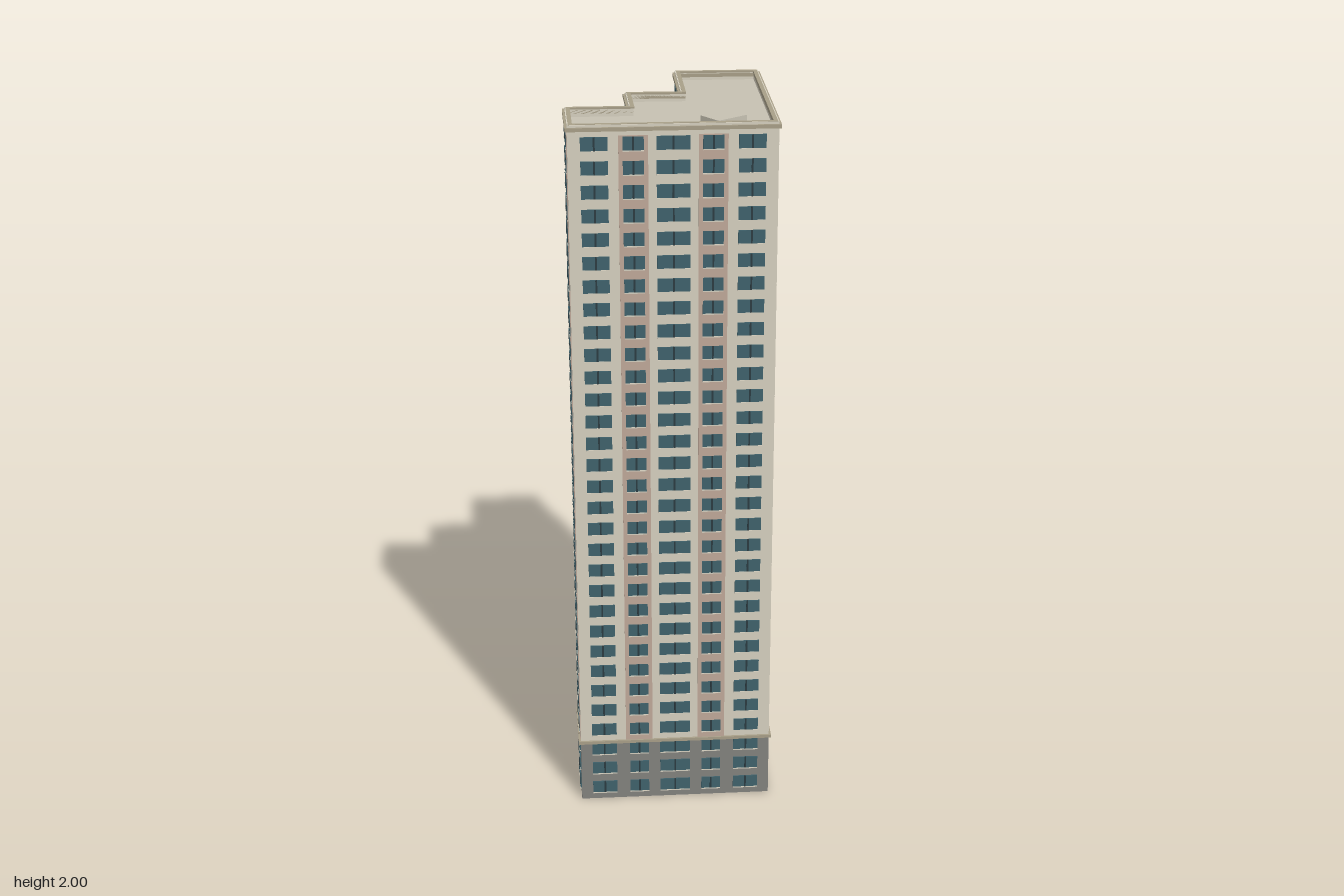
import * as THREE from 'three';
import { mergeGeometries } from 'three/addons/utils/BufferGeometryUtils.js';

const mat = (name, color) => {
  const m = new THREE.MeshStandardMaterial({ color });
  m.name = name;
  return m;
};

// Outer outline of the stepped floor plan as [x, z], left to right seen from outside
const OUTLINE = [
  [-0.393, -0.013], [0.06, 0.305], [0.393, -0.165], [0.195, -0.307],
  [0.06, -0.115], [-0.06, -0.203], [-0.143, -0.08], [-0.28, -0.178],
];

// Window columns on each wall: [start, end, onStrip] as fractions of the wall length
const WIDE = [[0.06, 0.19], [0.26, 0.36, true], [0.42, 0.58], [0.64, 0.74, true], [0.81, 0.94]];
const PAIR = [[0.14, 0.5], [0.65, 0.87, true]];
const SINGLE = [[0.14, 0.8]];
const COLUMNS = [WIDE, WIDE, PAIR, PAIR, SINGLE, SINGLE, SINGLE, PAIR];

const FLOORS = 31, FIRST = 0.04, STEP = 0.0637, BASE_TOP = 0.19;

// Unit direction of the edge that leaves corner i
function edgeDir(pts, i) {
  const n = pts.length, a = pts[(i + n) % n], b = pts[(i + 1) % n];
  return new THREE.Vector2(b[0] - a[0], b[1] - a[1]).normalize();
}

// Outline moved outward (d > 0) or inward (d < 0) with mitred corners
function offset(pts, d) {
  return pts.map((p, i) => {
    const e = edgeDir(pts, i - 1), f = edgeDir(pts, i);
    const k = d / (1 + e.dot(f));
    return [p[0] - (e.y + f.y) * k, p[1] + (e.x + f.x) * k];
  });
}

const toVectors = (pts) => pts.map(([x, z]) => new THREE.Vector2(x, -z));

// Upright prism over an outline, optionally hollow
function prism(outer, y0, y1, inner) {
  const shape = new THREE.Shape(toVectors(outer));
  if (inner) shape.holes.push(new THREE.Path(toVectors(inner)));
  const g = new THREE.ExtrudeGeometry(shape, { depth: y1 - y0, bevelEnabled: false });
  return g.rotateX(-Math.PI / 2).translate(0, y0, 0);
}

export function createModel() {
  const group = new THREE.Group();
  group.name = 'apartmentTower';

  const cream = mat('cream wall', 0xd6d0bf);
  const brown = mat('brown strip', 0xbfa899);
  const grey = mat('grey base', 0x82827e);
  const trim = mat('tan trim', 0xa89f88);
  const roofMat = mat('roof', 0xc6c1b2);
  const glass = mat('window glass', 0x3f626c);
  const frame = mat('window frame', 0x2b3b41);

  const add = (name, geometry, material) => {
    const mesh = new THREE.Mesh(geometry, material);
    mesh.name = name;
    group.add(mesh);
  };

  const wall = offset(OUTLINE, -0.006);
  const inner = offset(OUTLINE, -0.018);

  // Body, roof and trims
  add('base', prism(wall, 0, BASE_TOP), grey);
  add('tower', prism(wall, BASE_TOP, 1.972), cream);
  add('roofDeck', prism(inner, 1.972, 1.976), roofMat);
  add('parapet', prism(wall, 1.972, 2, inner), cream);
  add('cornice', prism(OUTLINE, 1.984, 1.994, inner), trim);
  add('parapetCap', prism(offset(OUTLINE, -0.009), 1.996, 2.001, offset(OUTLINE, -0.02)), trim);
  add('baseTrim', prism(OUTLINE, BASE_TOP - 0.005, BASE_TOP + 0.004, offset(OUTLINE, -0.01)), trim);
  add('roofHatch', new THREE.BoxGeometry(0.096, 0.02, 0.072).translate(0.003, 1.985, 0.142), roofMat);

  // Strips, panes, mullions and sills, laid out wall by wall
  const parts = { strips: [], panes: [], mullions: [], sills: [] };
  wall.forEach((p, i) => {
    const q = wall[(i + 1) % wall.length];
    const dir = edgeDir(wall, i);
    const length = Math.hypot(q[0] - p[0], q[1] - p[1]);

    // Thin plate centred at distance s along this wall
    const plate = (list, s, y, w, h, depth) => {
      const g = new THREE.BoxGeometry(w, h, depth);
      g.rotateY(Math.atan2(-dir.y, dir.x));
      list.push(g.translate(
        p[0] + dir.x * s - dir.y * depth / 2, y, p[1] + dir.y * s + dir.x * depth / 2));
    };

    for (const [a, b, onStrip] of COLUMNS[i]) {
      const s = (a + b) / 2 * length, w = (b - a) * length;
      if (onStrip) plate(parts.strips, s, (BASE_TOP + 1.972) / 2, w + 0.022, 1.972 - BASE_TOP, 0.002);
      for (let k = 0; k < FLOORS; k++) {
        const y = FIRST + k * STEP;
        plate(parts.panes, s, y, w, 0.036, 0.003);
        plate(parts.mullions, s, y, 0.005, 0.036, 0.004);
        plate(parts.sills, s, y - 0.0195, w, 0.003, 0.004);
      }
    }
  });
  add('brownStrips', mergeGeometries(parts.strips), brown);
  add('windowPanes', mergeGeometries(parts.panes), glass);
  add('windowMullions', mergeGeometries(parts.mullions), frame);
  add('windowSills', mergeGeometries(parts.sills), cream);

  return group;
}
